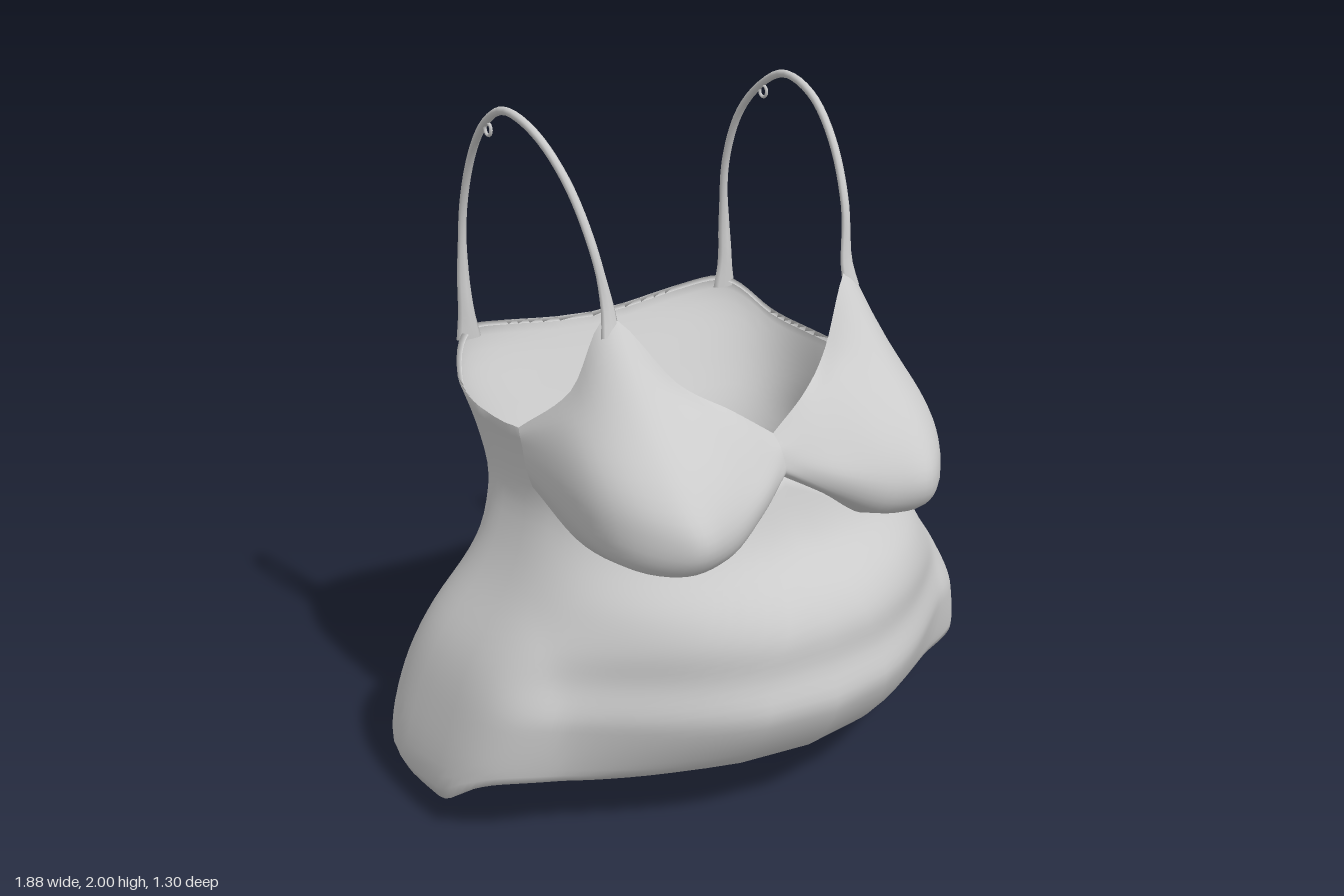
import * as THREE from 'three';
import { mergeVertices } from 'three/addons/utils/BufferGeometryUtils.js';

const V = (x, y, z) => new THREE.Vector3(x, y, z);

// Smooth interpolation through [key, value] pairs
function curve(pairs) {
  return (k) => {
    const n = pairs.length;
    if (k <= pairs[0][0]) return pairs[0][1];
    if (k >= pairs[n - 1][0]) return pairs[n - 1][1];
    let i = 0;
    while (k > pairs[i + 1][0]) i++;
    const slope = (j) => {
      const a = pairs[Math.max(j - 1, 0)], b = pairs[Math.min(j + 1, n - 1)];
      return (b[1] - a[1]) / (b[0] - a[0]);
    };
    const [x0, y0] = pairs[i], [x1, y1] = pairs[i + 1];
    const h = x1 - x0, t = (k - x0) / h, t2 = t * t, t3 = t2 * t;
    return y0 * (2 * t3 - 3 * t2 + 1) + y1 * (3 * t2 - 2 * t3)
      + slope(i) * h * (t3 - 2 * t2 + t) + slope(i + 1) * h * (t3 - t2);
  };
}

// Grid surface from f(u, v), with smooth normals across seams
function surface(f, nu, nv) {
  const pos = [], idx = [];
  for (let j = 0; j <= nv; j++)
    for (let i = 0; i <= nu; i++) pos.push(...f(i / nu, j / nv).toArray());
  for (let j = 0; j < nv; j++)
    for (let i = 0; i < nu; i++) {
      const a = j * (nu + 1) + i, b = a + 1, c = a + nu + 1, d = c + 1;
      idx.push(a, b, d, a, d, c);
    }
  let g = new THREE.BufferGeometry();
  g.setAttribute('position', new THREE.Float32BufferAttribute(pos, 3));
  g.setIndex(idx);
  g = mergeVertices(g, 1e-4);
  g.computeVertexNormals();
  return g;
}

// Body profile by height; the belly is an extra bulge towards the centre front
const width = curve([[0, .88], [.05, .92], [.12, .94], [.325, .89], [.5, .82], [.68, .695], [.8, .63], [.92, .59], [1.05, .595], [1.17, .62]]);
const front = curve([[.165, .45], [.21, .54], [.38, .65], [.51, .625], [.61, .615], [.69, .57], [.82, .45], [1, .385], [1.15, .34]]);
const belly = curve([[.165, .16], [.21, .22], [.38, .28], [.6, .23], [.8, .07], [1, 0]]);
const back = curve([[0, -.58], [.05, -.605], [.15, -.615], [.33, -.6], [.52, -.53], [.73, -.46], [.86, -.485], [1, -.55], [1.22, -.645], [1.3, -.655]]);
const middle = curve([[0, -.12], [.4, -.12], [.8, -.1], [1.2, -.19]]);
const frontPower = curve([[.1, 3.8], [.45, 3.8], [.7, 3], [.9, 2.4], [1.1, 2.5]]);
const backPower = curve([[.2, 3.3], [.7, 3], [1.2, 3.4]]);
// Edge heights by angle in degrees from the front
const hem = curve([[0, .17], [25, .18], [45, .2], [60, .19], [72, .145], [84, .085], [103, .03], [127, 0], [150, .02], [165, .06], [180, .08]]);
const top = curve([[0, 1], [10, .935], [20, .865], [39, .835], [58, .89], [68, 1.03], [75, 1.135], [90, 1.14], [115, 1.17], [132, 1.25], [142, 1.275], [160, 1.255], [180, 1.22]]);

function bodyPoint(angle, y) {
  const s = Math.sin(angle), c = Math.cos(angle), m = middle(y);
  const p = 2 / (c > 0 ? frontPower(y) : backPower(y));
  const x = width(y) * Math.sign(s) * Math.abs(s) ** p;
  const depth = c > 0 ? front(y) - belly(y) - m : m - back(y);
  let z = m + depth * Math.sign(c) * Math.abs(c) ** p;
  if (c > 0) z += belly(y) * Math.max(0, 1 - (x / .7) ** 2) ** 1.5;
  return V(x, y, z);
}

function bodyGeometry() {
  const rows = 32;
  return surface((u, v) => {
    const angle = u * 2 * Math.PI;
    const deg = 180 / Math.PI * Math.min(angle, 2 * Math.PI - angle);
    const row = Math.round(v * rows) - 1, last = rows - 2;
    const t = THREE.MathUtils.clamp(row / last, 0, 1);
    const p = bodyPoint(angle, THREE.MathUtils.lerp(hem(deg), top(deg), t));
    // Turned-in hem and top edge
    if (row < 0 || row > last) {
      p.x *= .98; p.z *= .98;
      p.y += row < 0 ? .012 : -.012;
    }
    return p;
  }, 96, rows);
}

// Cup control rows, from lower seam up to neckline; inner to outer
const cupRows = [
  [0, 1, .385, .12, .93, .41, .26, .835, .415, .43, .805, .335, .55, .86, .2, .597, .98, 0],
  [0, 1.02, .395, .13, .94, .46, .28, .87, .51, .44, .855, .5, .57, .9, .34, .61, 1.02, 0],
  [0, 1.05, .385, .14, 1, .475, .29, .96, .535, .43, .955, .545, .58, 1, .35, .614, 1.06, -.01],
  [0, 1.08, .37, .14, 1.08, .425, .3, 1.08, .475, .45, 1.08, .465, .575, 1.1, .3, .614, 1.1, -.02],
  [0, 1.1, .35, .13, 1.155, .36, .28, 1.235, .325, .435, 1.27, .29, .555, 1.21, .19, .615, 1.13, -.03],
  [0, 1.115, .33, .13, 1.205, .305, .26, 1.29, .23, .415, 1.48, .13, .525, 1.285, .105, .612, 1.15, -.04],
].map((r) => new THREE.CatmullRomCurve3(
  [0, 3, 6, 9, 12, 15].map((i) => V(r[i], r[i + 1], r[i + 2])), false, 'catmullrom', .5));

function cupGeometry(side) {
  return surface((u, v) => {
    const k = side > 0 ? u : 1 - u;
    const p = new THREE.CatmullRomCurve3(cupRows.map((c) => c.getPoint(k)), false, 'catmullrom', .5).getPoint(v);
    p.x *= side;
    return p;
  }, 30, 22);
}

// Narrow strap, widened where it meets the cup and the back
const strapPath = new THREE.CatmullRomCurve3([
  V(.42, 1.43, .147), V(.415, 1.5, .128), V(.433, 1.66, .092), V(.455, 1.83, 0), V(.475, 1.945, -.13),
  V(.485, 1.985, -.28), V(.483, 1.94, -.39), V(.475, 1.83, -.5), V(.475, 1.65, -.575),
  V(.48, 1.45, -.588), V(.48, 1.35, -.582), V(.475, 1.24, -.58)]);
const strapWidth = curve([[0, .03], [.06, .02], [.12, .014], [.8, .013], [.88, .02], [.95, .028], [1, .042]]);
const strapThickness = curve([[0, .01], [.3, .012], [.8, .013], [.9, .018], [1, .016]]);

function strapGeometry(side) {
  return surface((u, v) => {
    const a = -u * 2 * Math.PI * side;
    const normal = strapPath.getTangentAt(v).cross(V(1, 0, 0)).normalize();
    const p = strapPath.getPointAt(v);
    p.x += Math.cos(a) * strapWidth(v);
    p.addScaledVector(normal, Math.sin(a) * strapThickness(v));
    p.x *= side;
    return p;
  }, 8, 48);
}

export function createModel() {
  const model = new THREE.Group();
  model.name = 'camisole';
  const fabric = new THREE.MeshStandardMaterial({ color: 0xcccccc, side: THREE.DoubleSide });
  fabric.name = 'light grey fabric';
  const add = (name, geometry) => {
    const mesh = new THREE.Mesh(geometry, fabric);
    mesh.name = name;
    model.add(mesh);
    return mesh;
  };

  add('body', bodyGeometry());
  for (const [name, side] of [['left', 1], ['right', -1]]) {
    add(name + 'Cup', cupGeometry(side));
    add(name + 'Strap', strapGeometry(side));
    // Adjuster ring on the strap
    const ring = add(name + 'StrapRing', new THREE.TorusGeometry(.018, .005, 6, 14));
    ring.position.set(side * .483, 1.915, -.385);
    ring.rotation.y = Math.PI / 2;
  }
  return model;
}
